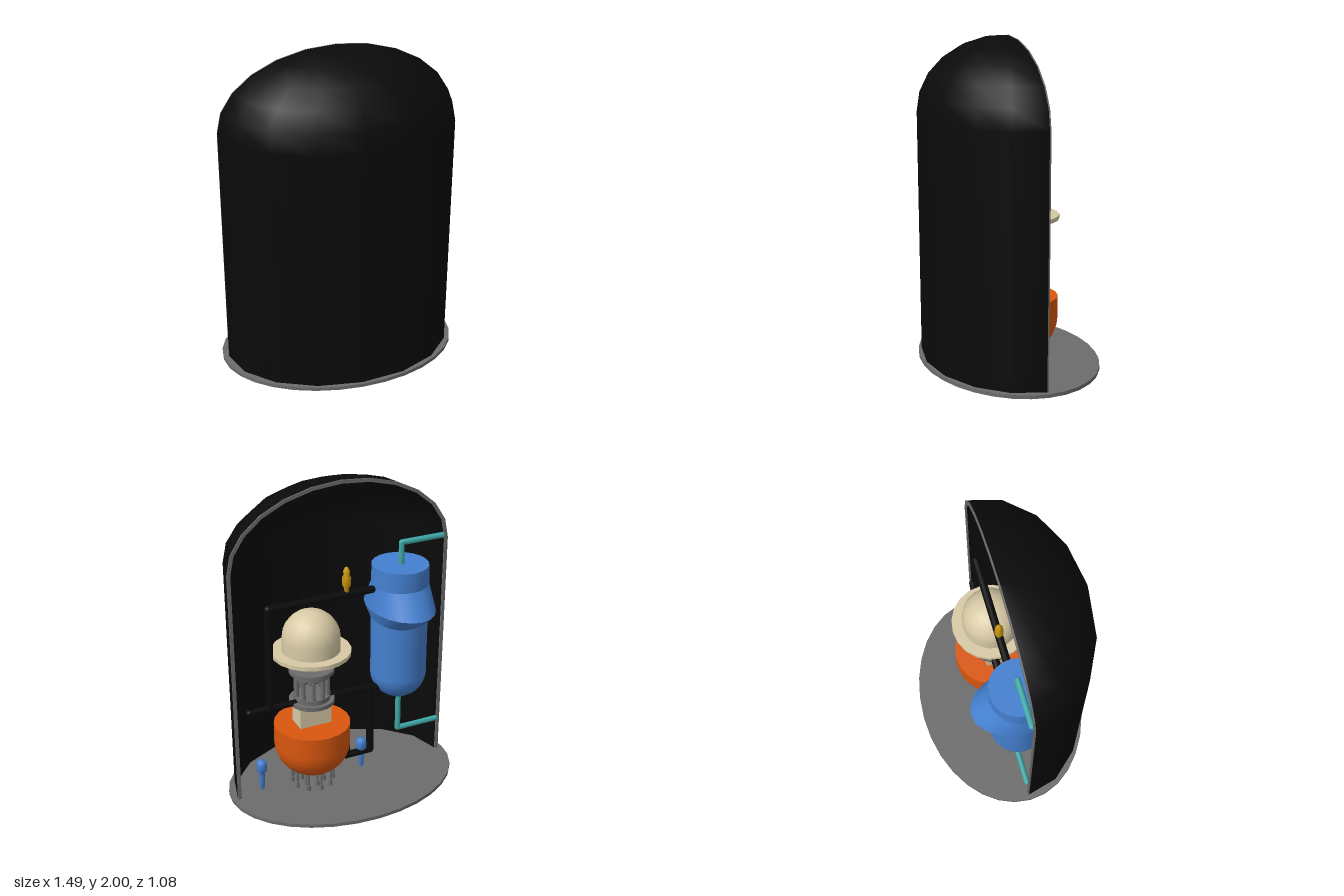
import * as THREE from 'three';

const mat = (name, color, side = THREE.FrontSide) => {
  const m = new THREE.MeshStandardMaterial({ color, side });
  m.name = name;
  return m;
};

export function createModel() {
  const black = mat('black', 0x0a0a0a, THREE.DoubleSide);
  const grey = mat('grey', 0x6c6c6c);
  const blue = mat('blue', 0x4480d0);
  const cream = mat('cream', 0xd8caa6);
  const orange = mat('orange', 0xdb570f);
  const teal = mat('teal', 0x3fa8a8);
  const yellow = mat('yellow', 0xc8960c);

  const model = new THREE.Group();
  const add = (name, geo, material, x = 0, y = 0, z = 0, parent = model) => {
    const mesh = new THREE.Mesh(geo, material);
    mesh.name = name;
    mesh.position.set(x, y, z);
    parent.add(mesh);
    return mesh;
  };
  // Lathe from [radius, height] pairs, listed bottom to top
  const lathe = (pts, seg = 16, start = 0, len = Math.PI * 2) =>
    new THREE.LatheGeometry(pts.map(([r, y]) => new THREE.Vector2(r, y)), seg, start, len);
  const cyl = (r, h, seg = 16, r2 = r) => new THREE.CylinderGeometry(r, r2, h, seg);

  // Elliptical base plate
  add('basePlate', cyl(0.745, 0.022, 32), grey, 0, 0.011).scale.z = 0.54 / 0.745;

  // Half containment shell: straight wall with an elliptical dome
  const shellProfile = (inset) => {
    const p = [[0.712 - inset, 0.022], [0.722 - inset, 1.53]];
    for (let i = 1; i <= 6; i++) {
      const a = (i * Math.PI) / 12;
      p.push([i === 6 ? 0 : (0.722 - inset) * Math.cos(a), 1.53 + (0.47 - inset) * Math.sin(a)]);
    }
    return p;
  };
  for (const [name, inset] of [['shellOuter', 0], ['shellInner', 0.022]]) {
    add(name, lathe(shellProfile(inset), 8, -Math.PI / 2, Math.PI), black).scale.z = 0.53 / 0.722;
  }
  // Cut edge of the shell
  const arch = [...shellProfile(0), ...shellProfile(0).slice(0, -1).reverse().map(([x, y]) => [-x, y])];
  const inner = shellProfile(0.022);
  const inside = [...inner.slice(0, -1).map(([x, y]) => [-x, y]), ...inner.reverse()];
  const rim = new THREE.Shape([...arch, ...inside].map(([x, y]) => new THREE.Vector2(x, y)));
  add('shellCutEdge', new THREE.ExtrudeGeometry(rim, { depth: 0.009, bevelEnabled: false }), grey, 0, 0, -0.009);

  // Steam generator: round-bottomed body and oval flared collar
  const body = [];
  for (let i = 0; i <= 6; i++) {
    const a = (i * Math.PI) / 12;
    body.push([0.178 * Math.sin(a), 0.68 - 0.17 * Math.cos(a)]);
  }
  body.push([0.178, 1.15]);
  add('generatorBody', lathe(body, 20), blue, -0.4);
  const collar = new THREE.Group();
  collar.name = 'generatorHead';
  collar.position.x = -0.4;
  model.add(collar);
  // Oval cross-sections widen more in depth than in width
  const bands = [[0.17, 0.178, 1.04], [0.2, 0.292, 1.135], [0.18, 0.18, 1.285], [0.176, 0.18, 1.41]];
  for (let k = 0; k < 3; k++) {
    const [x0, z0, y0] = bands[k], [x1, z1, y1] = bands[k + 1];
    const g = cyl(1, 1, 20);
    const p = g.attributes.position;
    for (let i = 0; i < p.count; i++) {
      const top = p.getY(i) > 0;
      p.setXYZ(i, p.getX(i) * (top ? x1 : x0), top ? y1 : y0, p.getZ(i) * (top ? z1 : z0));
    }
    g.computeVertexNormals();
    add('headBand', g, blue, 0, 0, 0, collar);
  }

  // Reactor vessel stack
  const X = 0.2;
  const bowl = [];
  for (let i = 0; i <= 7; i++) {
    const a = (i * Math.PI) / 14;
    bowl.push([0.24 * Math.sin(a), 0.32 - 0.22 * Math.cos(a)]);
  }
  bowl.push([0.24, 0.455]);
  add('vesselBowl', lathe(bowl, 20), orange, X);
  add('vesselBowlLid', cyl(0.24, 0.004, 20), orange, X, 0.453);
  add('supportBlock', new THREE.BoxGeometry(0.21, 0.15, 0.125), cream, X, 0.527);

  const dome = [[0.18, 0.955], [0.18, 1.035]];
  for (let i = 1; i <= 6; i++) {
    const a = (i * Math.PI) / 12;
    dome.push([i === 6 ? 0 : 0.18 * Math.cos(a), 1.035 + 0.18 * Math.sin(a)]);
  }
  add('vesselDome', lathe(dome, 20), cream, X);
  add('domeFlange', cyl(0.245, 0.026, 20), cream, X, 0.945);

  // Control cage: rings joined by rods
  for (const y of [0.612, 0.822]) add('cageRing', cyl(0.142, 0.026, 20), grey, X, y);
  for (const y of [0.64, 0.795]) add('cageCollar', cyl(0.115, 0.03, 20), grey, X, y);
  add('cageNeck', cyl(0.05, 0.1, 12), black, X, 0.885);
  for (let i = 0; i < 10; i++) {
    const a = (i * Math.PI) / 5;
    add('cageRod', cyl(0.014, 0.19, 8), grey, X + 0.1 * Math.cos(a), 0.715, 0.1 * Math.sin(a));
  }

  // Instrument rods below the bowl
  for (const [n, r] of [[10, 0.13], [6, 0.07]]) {
    for (let i = 0; i < n; i++) {
      const a = ((i + 0.5) * 2 * Math.PI) / n;
      const x = X + r * Math.cos(a), z = r * Math.sin(a);
      add('instrumentRod', cyl(0.009, 0.14, 8), grey, x, 0.1, z);
      add('instrumentFoot', cyl(0.014, 0.035, 8), grey, x, 0.042, z);
    }
  }

  // Pipe runs with sharp elbows
  const pipe = (name, material, r, pts) => {
    const path = new THREE.CurvePath();
    const v = pts.map(([x, y]) => new THREE.Vector3(x, y, -0.012));
    for (let i = 0; i + 1 < v.length; i++) path.add(new THREE.LineCurve3(v[i], v[i + 1]));
    path.curves.forEach((c) => add(name, new THREE.TubeGeometry(c, 1, r, 10), material));
    v.forEach((q) => add(name + 'Joint', new THREE.SphereGeometry(r, 10, 8), material, q.x, q.y, q.z));
  };
  pipe('steamPipe', black, 0.024, [[0.48, 0.62], [0.48, 1.28], [-0.2, 1.28]]);
  pipe('feedPipe', black, 0.02, [[0.62, 0.62], [0.25, 0.62]]);
  pipe('hotLeg', black, 0.026, [[0.2, 0.62], [-0.25, 0.6]]);
  pipe('coldLeg', black, 0.024, [[-0.03, 0.36], [-0.03, 0.15], [-0.2, 0.15], [-0.2, 0.6]]);
  pipe('upperWaterPipe', teal, 0.018, [[-0.4, 1.38], [-0.4, 1.55], [-0.68, 1.55]]);
  pipe('lowerWaterPipe', teal, 0.018, [[-0.4, 0.54], [-0.4, 0.26], [-0.68, 0.26]]);

  // Relief valve
  add('reliefValve', lathe([[0, 1.29], [0.014, 1.29], [0.014, 1.32], [0.026, 1.34], [0.028, 1.39],
    [0.018, 1.41], [0.022, 1.43], [0.01, 1.455], [0, 1.46]], 12), yellow, -0.03, 0, -0.014);

  // Small pumps
  for (const [x, y] of [[0.55, 0.05], [-0.14, 0.03]]) {
    add('pump', lathe([[0, 0], [0.014, 0.01], [0.02, 0.11], [0.018, 0.13], [0.034, 0.145],
      [0.034, 0.19], [0.024, 0.21], [0, 0.215]], 12), blue, x, y, -0.008);
  }

  return model;
}
